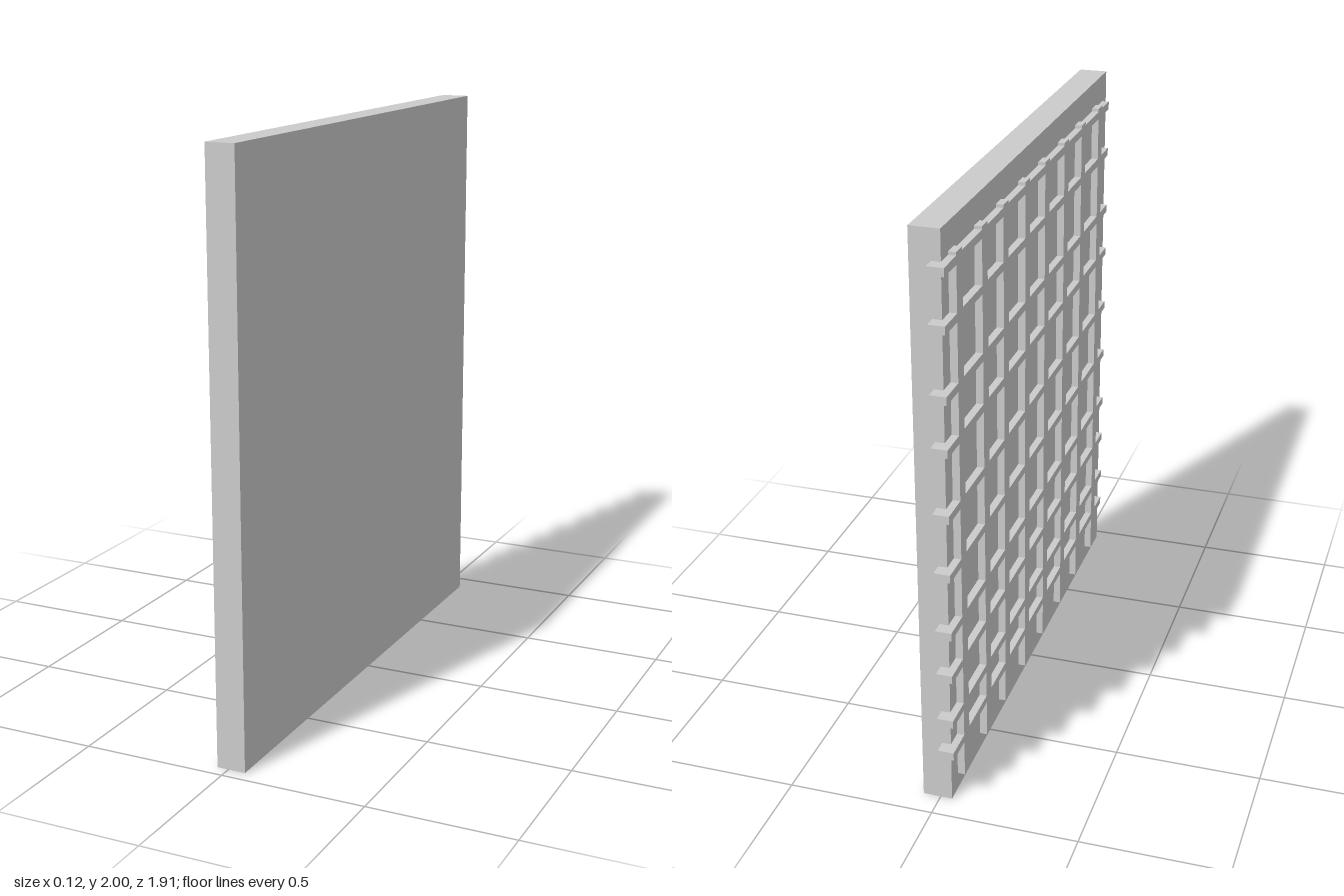
import * as THREE from 'three';

export function createModel() {
  const model = new THREE.Group();
  const material = new THREE.MeshStandardMaterial({ color: 0xcccccc, flatShading: true });

  // Box given by its extents along each axis
  function box(name, [x0, x1], [y0, y1], [z0, z1], parent) {
    const mesh = new THREE.Mesh(new THREE.BoxGeometry(x1 - x0, y1 - y0, z1 - z0), material);
    mesh.position.set((x0 + x1) / 2, (y0 + y1) / 2, (z0 + z1) / 2);
    mesh.name = name;
    parent.add(mesh);
  }

  // Solid slab
  box('panel', [-0.04, 0.06], [0, 2], [-0.91, 0.955], model);

  // Grid of bars half sunk into the slab's -x face
  const grid = new THREE.Group();
  grid.name = 'barGrid';
  model.add(grid);
  const depth = [-0.065, -0.01];

  // Horizontal bars, overhanging the slab's rear edge
  for (const y of [0.205, 0.33, 0.502, 0.662, 0.873, 1.08, 1.48, 1.305, 1.705, 1.885]) {
    box('horizontalBar', depth, [y - 0.014, y + 0.014], [-0.955, 0.905], grid);
  }

  // Vertical bars
  for (const z of [-0.822, -0.585, -0.372, -0.138, 0.09, 0.326, 0.55, 0.783]) {
    box('verticalBar', depth, [0.06, 1.91], [z - 0.026, z + 0.026], grid);
  }

  return model;
}
